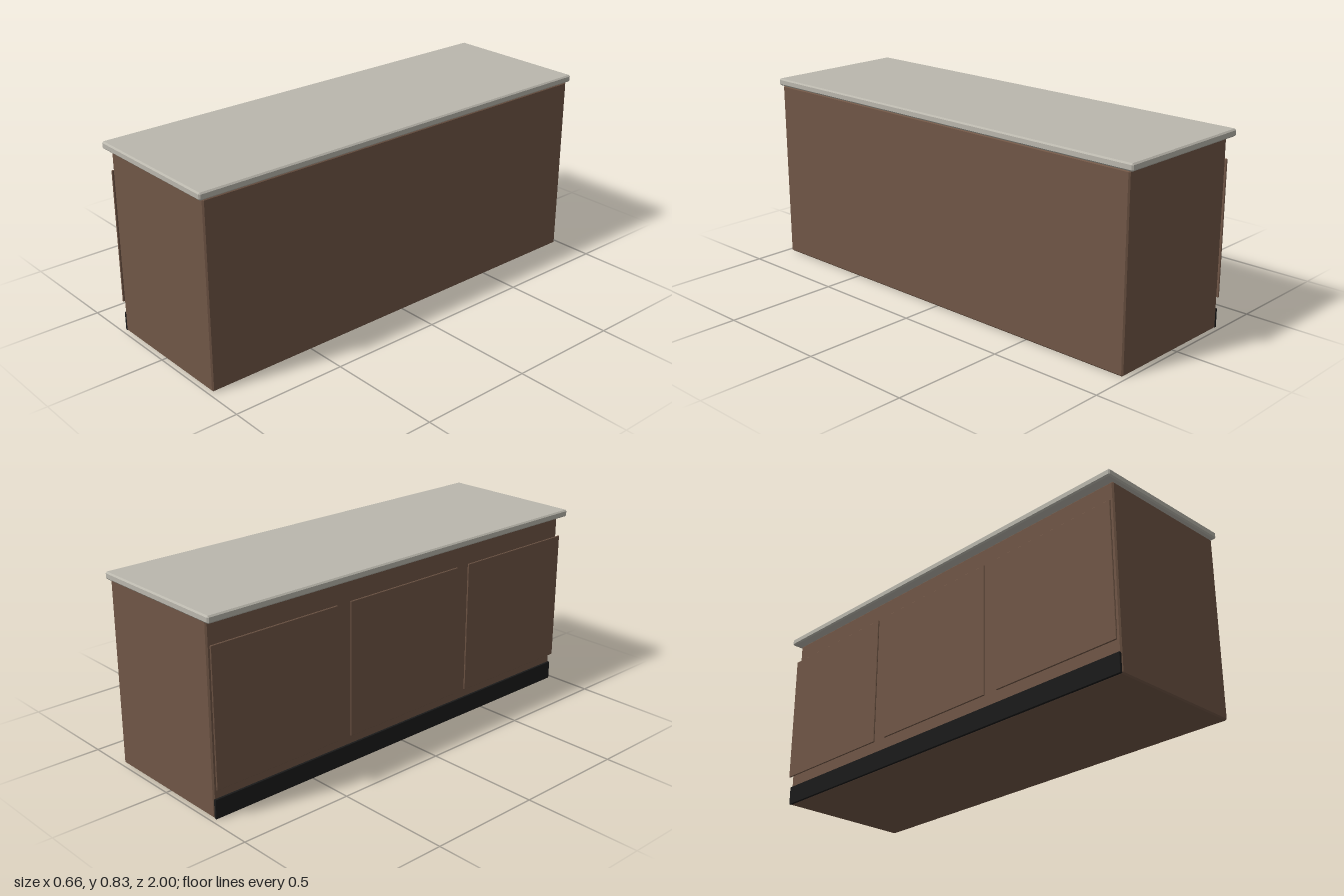
import * as THREE from 'three';
import { ConvexGeometry } from 'three/addons/geometries/ConvexGeometry.js';

// Box between two corners with every edge cut by a flat chamfer c
function chamferBox(min, max, c) {
  const size = max.map((v, i) => (v - min[i]) / 2);
  const mid = max.map((v, i) => (v + min[i]) / 2);
  const points = [];
  for (const sx of [-1, 1]) for (const sy of [-1, 1]) for (const sz of [-1, 1]) {
    const s = [sx, sy, sz];
    for (let axis = 0; axis < 3; axis++) {
      // one point on each of the three faces meeting at this corner
      const p = s.map((sign, i) => mid[i] + sign * (size[i] - (i === axis ? 0 : c)));
      points.push(new THREE.Vector3(...p));
    }
  }
  return new ConvexGeometry(points);
}

export function createModel() {
  const group = new THREE.Group();
  group.name = 'kitchenIsland';

  const material = (name, color) => {
    const m = new THREE.MeshStandardMaterial({ color });
    m.name = name;
    return m;
  };
  const wood = material('brownWood', 0x705646);
  const stone = material('greyStone', 0xbab7ad);
  const black = material('blackPlinth', 0x1a1a1a);

  const add = (name, min, max, chamfer, mat) => {
    const mesh = new THREE.Mesh(chamferBox(min, max, chamfer), mat);
    mesh.name = name;
    group.add(mesh);
  };

  // Cabinet body and worktop
  add('cabinetBody', [-0.292, 0.002, -0.982], [0.324, 0.801, 0.982], 0.006, wood);
  add('worktop', [-0.332, 0.801, -1], [0.332, 0.832, 1], 0.006, stone);

  // Kick board along the door side
  add('kickBoard', [-0.301, 0.002, -0.98], [-0.29, 0.084, 0.98], 0.001, black);

  // Three thin door panels standing just clear of the body
  for (let i = -1; i <= 1; i++) {
    const z = i * 0.675;
    add('door' + (i + 2), [-0.313, 0.128, z - 0.304], [-0.306, 0.71, z + 0.304], 0.002, wood);
  }

  return group;
}
